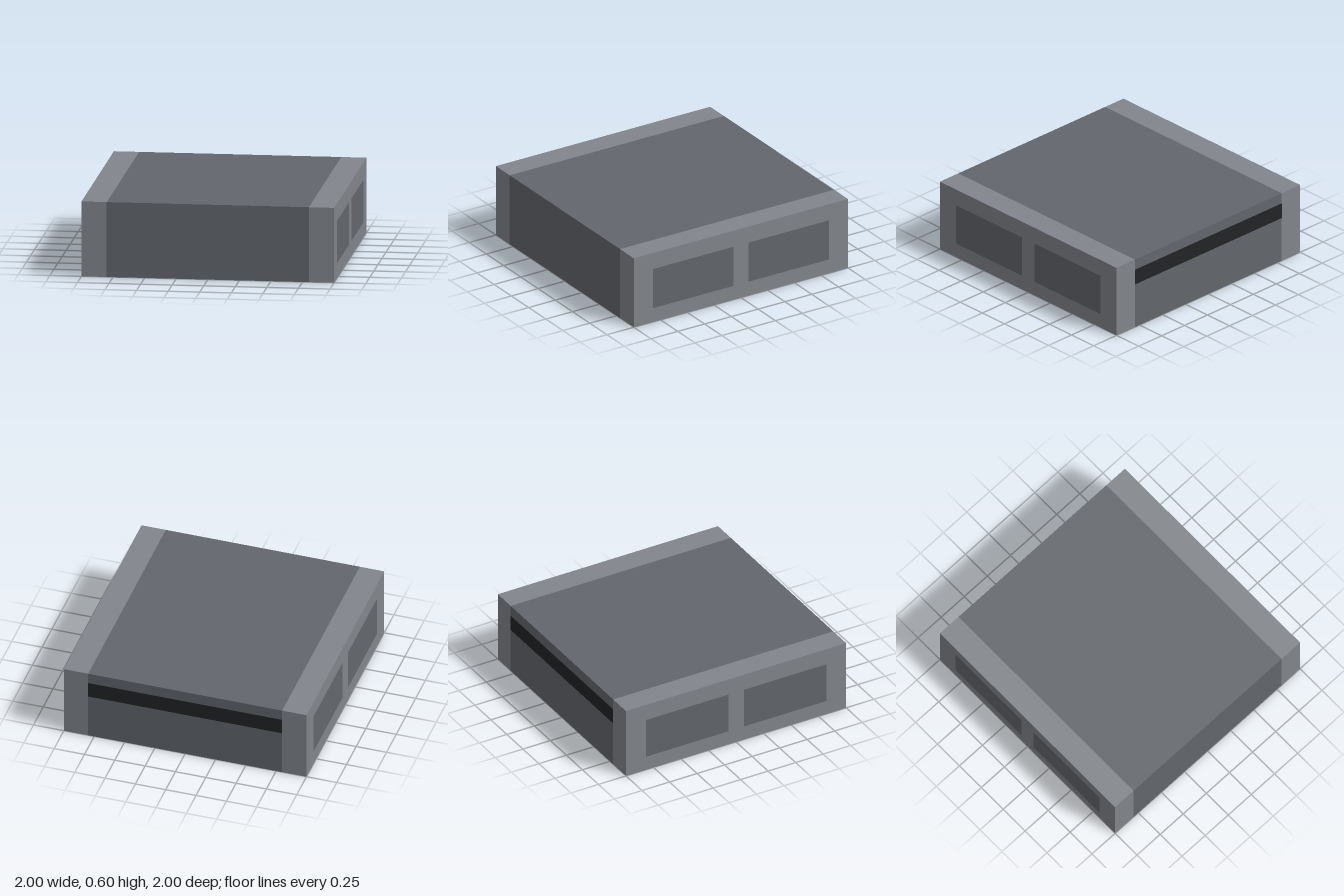
import * as THREE from 'three';

const W = 2, H = 0.6, D = 2, CAP = 0.2;
const darkGrey = new THREE.MeshStandardMaterial({ color: 0x63676d });
const lightGrey = new THREE.MeshStandardMaterial({ color: 0x82868c });
const black = new THREE.MeshStandardMaterial({ color: 0x222426 });

function rectangle(path, x0, y0, x1, y1) {
  path.moveTo(x0, y0).lineTo(x1, y0).lineTo(x1, y1).lineTo(x0, y1).closePath();
  return path;
}

function box(name, size, position, material) {
  const mesh = new THREE.Mesh(new THREE.BoxGeometry(...size), material);
  mesh.name = name;
  mesh.position.set(...position);
  return mesh;
}

export function createModel() {
  const model = new THREE.Group();
  model.name = 'case';

  // Dark central body
  model.add(box('body', [W - 2 * CAP, H, D], [0, H / 2, 0], darkGrey));

  // Lighter end frame with two windows, extruded along x
  const frameShape = rectangle(new THREE.Shape(), -D / 2, 0, D / 2, H);
  const windows = [[-0.82, -0.07], [0.07, 0.82]];
  const y0 = 0.12, y1 = 0.46;
  for (const [a, b] of windows) {
    frameShape.holes.push(rectangle(new THREE.Path(), a, y0, b, y1));
  }
  const frameGeometry = new THREE.ExtrudeGeometry(frameShape, { depth: CAP, bevelEnabled: false });
  frameGeometry.translate(0, 0, -CAP / 2);
  frameGeometry.rotateY(Math.PI / 2);

  for (const side of [-1, 1]) {
    const label = side > 0 ? 'left' : 'right';
    const x = side * (W - CAP) / 2;
    const frame = new THREE.Mesh(frameGeometry, lightGrey);
    frame.name = `${label}EndFrame`;
    frame.position.x = x;
    model.add(frame);

    // Dark panels filling the windows flush
    windows.forEach(([a, b], i) => {
      model.add(box(`${label}SidePanel${i + 1}`, [CAP, y1 - y0, b - a],
        [x, (y0 + y1) / 2, (a + b) / 2], darkGrey));
    });
  }

  // Black strip across the back, practically flush
  model.add(box('backSlot', [W - 2 * CAP, 0.13, 0.02], [0, 0.445, -D / 2 + 0.008], black));

  return model;
}
